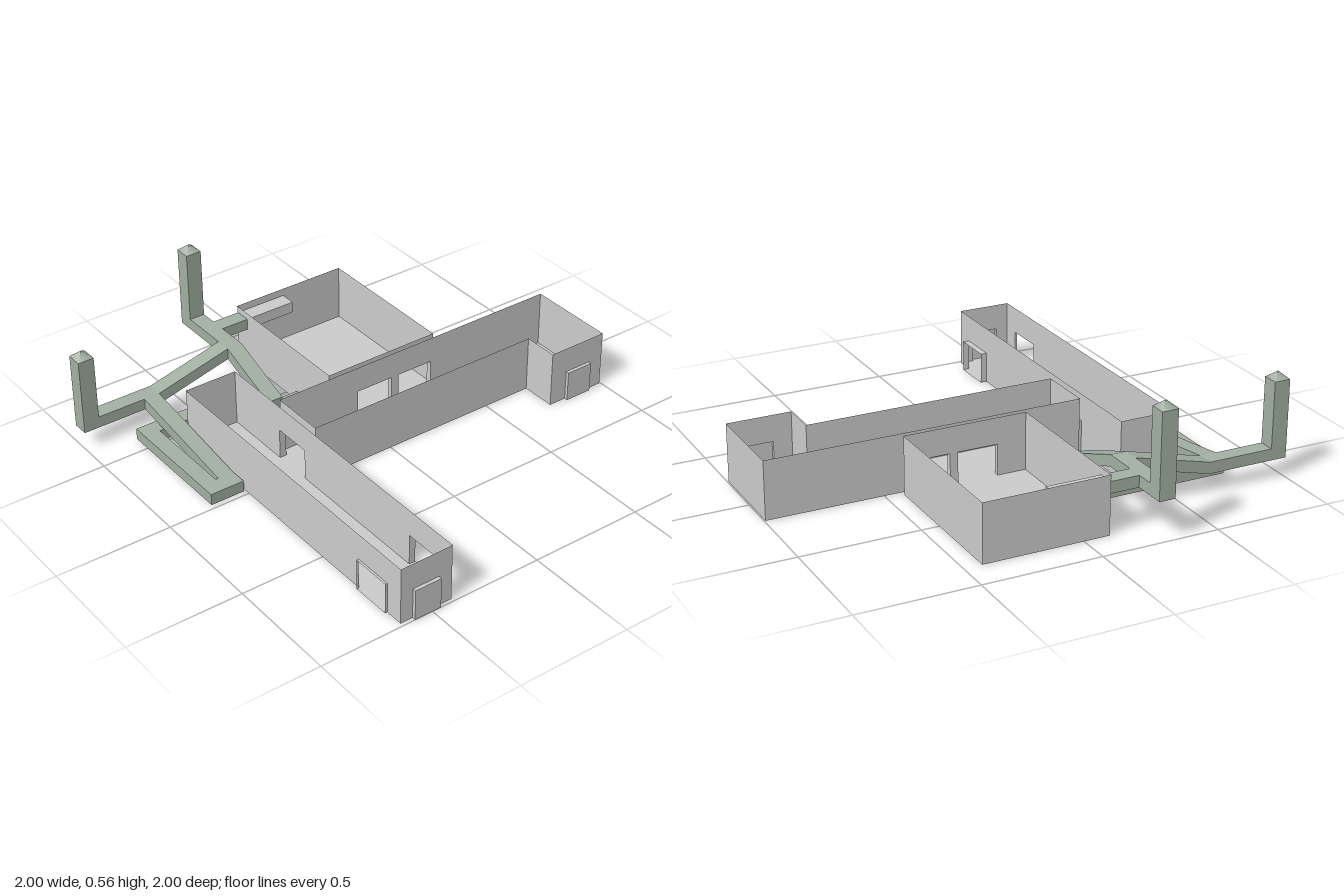
import * as THREE from 'three';

const WALL_H = 0.25, DOOR_H = 0.135;
const grey = new THREE.MeshStandardMaterial({ color: 0xcccccc, side: THREE.DoubleSide });
const green = new THREE.MeshStandardMaterial({ color: 0xa2b0a2 });

function add(parent, geometry, material, name) {
  const mesh = new THREE.Mesh(geometry, material);
  mesh.name = name;
  parent.add(mesh);
  return mesh;
}

// Thin wall from p to q ([x, z]); doors are [from, to] in world units along the wall
function wall(parent, p, q, height, doors = [], name = 'wall') {
  const dx = q[0] - p[0], dz = q[1] - p[1], length = Math.hypot(dx, dz);
  const axis = Math.abs(dx) > Math.abs(dz) ? 0 : 1;
  const shape = new THREE.Shape();
  shape.moveTo(0, 0);
  doors
    .map(d => d.map(c => Math.abs(c - p[axis])).sort((a, b) => a - b))
    .sort((a, b) => a[0] - b[0])
    .forEach(([a, b]) => {
      shape.lineTo(a, 0).lineTo(a, DOOR_H).lineTo(b, DOOR_H).lineTo(b, 0);
    });
  shape.lineTo(length, 0).lineTo(length, height).lineTo(0, height);
  const mesh = add(parent, new THREE.ShapeGeometry(shape), grey, name);
  mesh.position.set(p[0], 0, p[1]);
  mesh.rotation.y = Math.atan2(-dz, dx);
}

// Horizontal sheet over an outline of [x, z] points
function slab(parent, outline, y, name) {
  const shape = new THREE.Shape(outline.map(([x, z]) => new THREE.Vector2(x, z)));
  add(parent, new THREE.ShapeGeometry(shape).rotateX(Math.PI / 2), grey, name).position.y = y;
}

// Open-topped room; doors maps an edge index to its doorways
function room(parent, name, outline, doors) {
  const group = new THREE.Group();
  group.name = name;
  slab(group, outline, 0, 'floor');
  outline.forEach((p, i) => wall(group, p, outline[(i + 1) % outline.length], WALL_H, doors[i]));
  parent.add(group);
}

// Short doorway tunnel running along x or z, optionally closed by a door at z1
function doorway(parent, name, alongX, x0, x1, z0, z1, closed = false) {
  const group = new THREE.Group();
  group.name = name;
  const outline = [[x0, z0], [x1, z0], [x1, z1], [x0, z1]];
  slab(group, outline, 0, 'threshold');
  slab(group, outline, DOOR_H, 'lintel');
  if (alongX) {
    wall(group, [x0, z0], [x1, z0], DOOR_H, [], 'jamb');
    wall(group, [x0, z1], [x1, z1], DOOR_H, [], 'jamb');
  } else {
    wall(group, [x0, z0], [x0, z1], DOOR_H, [], 'jamb');
    wall(group, [x1, z0], [x1, z1], DOOR_H, [], 'jamb');
  }
  if (closed) wall(group, [x0, z1], [x1, z1], DOOR_H, [], 'door');
  parent.add(group);
}

// Beam between x0..x1 and z0..z1; its base height follows rule(x, z)
function beam(parent, name, x0, x1, z0, z1, base, material = green) {
  const h = 0.05;
  const geometry = new THREE.BoxGeometry(x1 - x0, h, z1 - z0);
  geometry.translate((x0 + x1) / 2, h / 2, (z0 + z1) / 2);
  const pos = geometry.attributes.position;
  for (let i = 0; i < pos.count; i++) {
    const y = typeof base === 'function' ? base(pos.getX(i), pos.getZ(i)) : base;
    pos.setY(i, pos.getY(i) + y);
  }
  geometry.computeVertexNormals();
  add(parent, geometry, material, name);
}

// Square post with a pyramid tip
function post(parent, name, x, z, y0, y1) {
  const group = new THREE.Group();
  group.name = name;
  const w = 0.07, tip = 0.03, h = y1 - tip - y0;
  add(group, new THREE.BoxGeometry(w, h, w), green, 'shaft').position.set(x, y0 + h / 2, z);
  const cone = new THREE.ConeGeometry(w / Math.SQRT2, tip, 4, 1, true).rotateY(Math.PI / 4);
  add(group, cone, green, 'tip').position.set(x, y1 - tip / 2, z);
  parent.add(group);
}

export function createModel() {
  const model = new THREE.Group();
  model.name = 'floorPlan';
  const { lerp, clamp } = THREE.MathUtils;
  const ramp = (v, v0, v1, y0, y1) => lerp(y0, y1, clamp((v - v0) / (v1 - v0), 0, 1));

  // Rooms
  room(model, 'longHall',
    [[-0.635, -0.44], [-0.4, -0.44], [-0.4, 0.985], [-0.635, 0.985]],
    { 1: [[-0.125, 0.05], [0.73, 0.905]], 2: [[-0.58, -0.46]], 3: [[0.73, 0.905]] });
  room(model, 'cornerHall',
    [[-0.37, -0.16], [0.995, -0.16], [0.995, 0.24], [0.72, 0.24], [0.72, 0.085], [-0.37, 0.085]],
    { 0: [[0.015, 0.19], [0.225, 0.395]], 2: [[0.8, 0.925]], 5: [[-0.125, 0.05]] });
  room(model, 'squareRoom',
    [[-0.11, -0.86], [0.425, -0.86], [0.425, -0.185], [-0.11, -0.185]],
    { 2: [[0.015, 0.19], [0.225, 0.395]] });

  // Doorways
  doorway(model, 'hallPassage', true, -0.4, -0.37, -0.125, 0.05);
  doorway(model, 'roomPassage', false, 0.015, 0.19, -0.185, -0.16);
  doorway(model, 'roomPassage', false, 0.225, 0.395, -0.185, -0.16);
  doorway(model, 'sideDoorway', true, -0.645, -0.635, 0.73, 0.905);
  doorway(model, 'sideDoorway', true, -0.4, -0.372, 0.73, 0.905);
  doorway(model, 'endDoorway', false, -0.58, -0.46, 0.985, 1, true);
  doorway(model, 'endDoorway', false, 0.8, 0.925, 0.24, 0.255, true);

  // Low passages at ground level
  beam(model, 'lowPassage', -0.797, -0.727, -0.51, -0.02, 0.003);
  beam(model, 'lowPassage', -0.797, -0.235, -0.58, -0.51, 0.003);
  beam(model, 'lowPassage', -0.305, -0.235, -0.51, -0.345, 0.003);
  beam(model, 'lowPassage', -0.235, -0.115, -0.415, -0.345, 0.003);
  beam(model, 'lowPassage', -0.727, -0.715, -0.095, -0.02, 0.003);

  // Raised passages and ramps
  beam(model, 'lowerRamp', -0.715, -0.645, -0.64, -0.095, (x, z) => ramp(z, -0.64, -0.095, 0.083, 0.003));
  beam(model, 'lowerRampFoot', -0.715, -0.645, -0.095, -0.02, 0.003);
  beam(model, 'middlePassage', -1, -0.645, -0.71, -0.64, 0.083);
  beam(model, 'upperRamp', -0.645, -0.305, -0.71, -0.64, x => ramp(x, -0.645, -0.305, 0.083, 0.17));
  beam(model, 'upperPassage', -0.305, -0.235, -1, -0.64, 0.17);
  beam(model, 'crossRamp', -0.305, -0.235, -0.64, -0.345, (x, z) => ramp(z, -0.64, -0.345, 0.17, 0.06));
  beam(model, 'upperBranch', -0.235, -0.11, -0.855, -0.785, 0.17);
  beam(model, 'innerBranch', -0.11, 0.125, -0.855, -0.785, 0.17, grey);

  // Posts
  post(model, 'shortPost', -0.965, -0.675, 0.083, 0.447);
  post(model, 'tallPost', -0.27, -0.965, 0.17, 0.56);
  return model;
}
